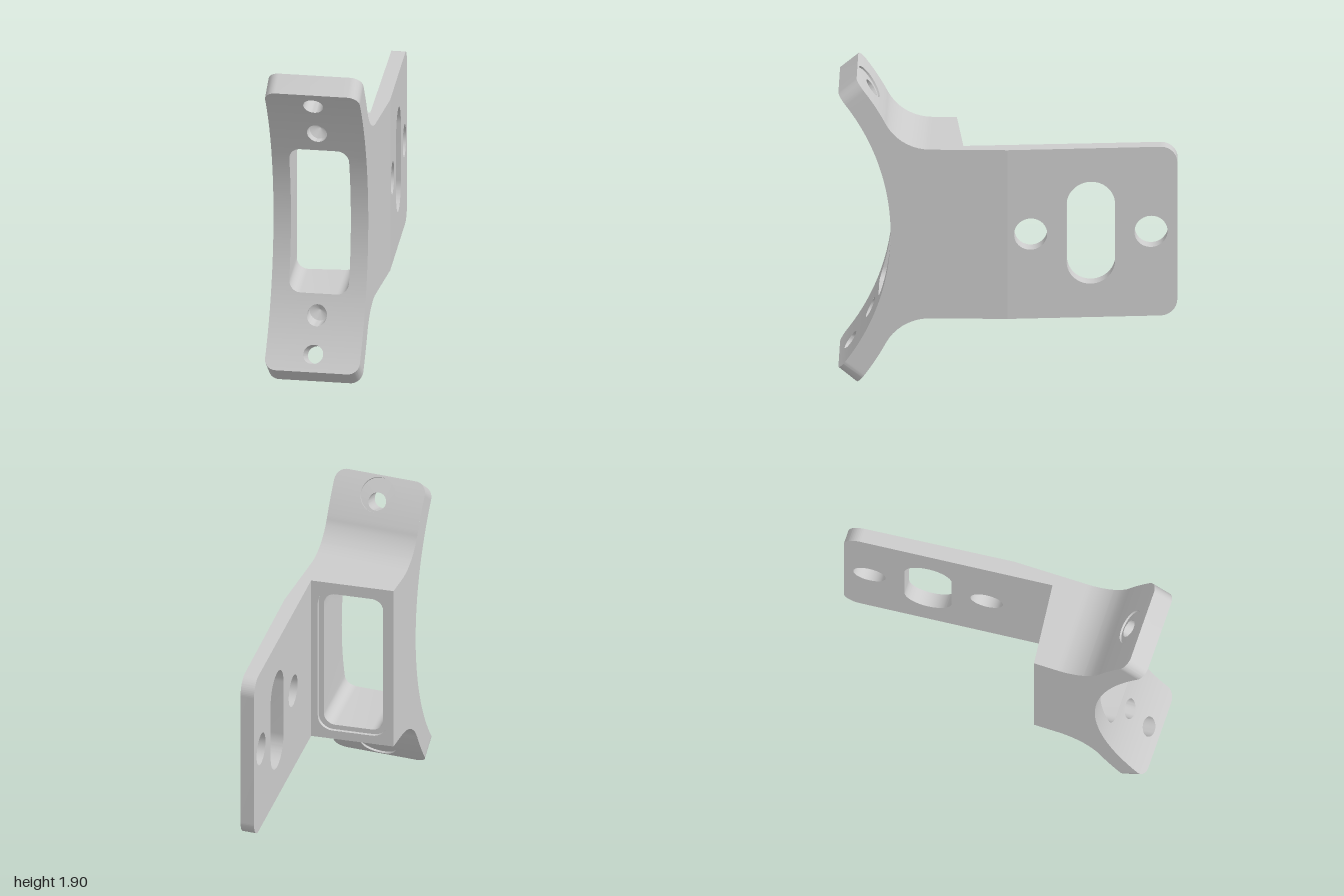
import * as THREE from 'three';
import { toCreasedNormals } from 'three/addons/utils/BufferGeometryUtils.js';

const C = 0.95;                    // height of the mirror plane
const R = 1.348, THICK = 0.14, ZC = 2.04;   // front arc, arm thickness, arc centre
const T = 0.692;                   // arc angle at the arm tips
const F = 0.4804, G = 0.31, H = 0.26;       // angles: fillet start, fillet end, back corner
const HALF = 0.285, FLAT = 0.53;   // half width, half height of body and plate
const { sin, cos, sqrt, abs, sign, PI } = Math;
const lerp = THREE.MathUtils.lerp;

// Front and rear skins of the bracket, both driven by the arc angle t
const front = (t, x) => [x, C + R * sin(t), ZC - R * cos(t)];
const rearZ = x => 0.285 - 0.1 * x;
function back(t, x, depth = 0) {
  const a = abs(t), s = sign(t);
  let y, z;
  if (a >= F) {
    const r = R + THICK - depth;
    y = r * sin(a); z = ZC - r * cos(a);
  } else if (a >= G) {
    const p = lerp(F, PI / 2, (F - a) / (F - G));
    y = 0.824 - 0.294 * sin(p); z = 0.46 + 0.294 * cos(p);
  } else if (a >= H) {
    y = FLAT; z = lerp(0.46, rearZ(x), (G - a) / (G - H));
  } else {
    y = FLAT * a / H; z = rearZ(x) + depth;
  }
  return [x, C + s * y, z];
}

// Openings: c, h = centre and half height in angle; w = half width;
// rx, ry = corner radii; cx = sideways shift
const opening = (c, h, w, rx, ry, cx = 0) => ({ c, h, w, rx, ry, cx });
const circle = (c, h, r) => opening(c, h, r, r, h);
function halfWidth(o, t) {
  const d = Math.max(0, o.h - abs(t - o.c));
  return d >= o.ry ? o.w : o.w - o.rx + o.rx * sqrt(Math.max(0, 1 - (1 - d / o.ry) ** 2));
}
function levels(o) {
  const list = [], n = 10;
  for (let k = 0; k <= n; k++) {
    const e = o.h - o.ry * (1 - cos(k / n * PI / 2));
    list.push(o.c - e, o.c + e);
  }
  for (let k = 1; k < 16; k++) list.push(o.c + (o.h - o.ry) * (k / 8 - 1));
  return list.sort((a, b) => a - b);
}
function loop(o, skin) {
  const ts = levels(o);
  return [
    ...ts.map(t => skin(t, o.cx + halfWidth(o, t))),
    ...ts.reverse().map(t => skin(t, o.cx - halfWidth(o, t))),
  ];
}

function createBracket(material) {
  const pos = [];
  const quad = (a, b, c, d, flip) =>
    pos.push(...(flip ? [a, c, b, a, d, c] : [a, b, c, a, c, d]).flat());
  // Walls through a chain of loops, from front to rear
  const chain = loops => {
    for (let j = 0; j + 1 < loops.length; j++) {
      const A = loops[j], B = loops[j + 1], n = A.length;
      for (let i = 0; i < n; i++) quad(B[i], A[i], A[(i + 1) % n], B[(i + 1) % n]);
    }
  };
  const edge = opening(0, T, HALF, 0.07, 0.052);
  const rows = openings => {
    const list = [...levels(edge), -F, F, -G, G, -H, H];
    for (let k = 0; k <= 72; k++) list.push(lerp(-T, T, k / 72));
    for (const o of openings) list.push(...levels(o), o.c - o.h - 1e-4, o.c + o.h + 1e-4);
    return list.filter(t => abs(t) <= T).sort((a, b) => a - b)
      .filter((t, i, l) => i === 0 || t - l[i - 1] > 1e-7);
  };
  // A skin with its openings left free, made in rows on each side of them
  const sheet = (skin, openings, flip) => {
    const ts = rows(openings);
    const spans = ts.map(t => {
      const W = halfWidth(edge, t);
      const o = openings.find(q => abs(t - q.c) <= q.h + 1e-6);
      const w = o ? halfWidth(o, t) : 0, cx = o ? o.cx : 0;
      return [-W, cx - w, cx + w, W];
    });
    for (let i = 0; i + 1 < ts.length; i++) for (const k of [0, 2]) {
      const [p, q] = [spans[i], spans[i + 1]];
      quad(skin(ts[i], p[k]), skin(ts[i], p[k + 1]),
        skin(ts[i + 1], q[k + 1]), skin(ts[i + 1], q[k]), flip);
    }
  };

  const window_ = opening(0, 0.3365, 0.18, 0.07, 0.055);
  const windowRear = opening(0, 0.2183, 0.18, 0.07, 0.0343, -0.035);
  const windowStep = opening(0, 0.233, 0.21, 0.09, 0.044, -0.035);
  const frontOpenings = [window_], rearOpenings = [windowStep];

  // Window with a shallow step at the rear
  chain([loop(window_, front), loop(windowRear, (t, x) => back(t, x, 0.02)),
    loop(windowStep, (t, x) => back(t, x, 0.02)), loop(windowStep, back)]);

  for (const s of [-1, 1]) {
    // Bolt hole with its seat on the rear of the arm
    const bolt = circle(s * 0.609, 0.0445, 0.06);
    const boltRear = circle(s * 0.585, 0.037, 0.055);
    const seat = circle(s * 0.611, 0.0726, 0.108);
    const floor = (t, x) => back(t, x, 0.012);
    chain([loop(bolt, front), loop(boltRear, floor), loop(seat, floor), loop(seat, back)]);
    // Blind pilot hole with a conical end
    const pilot = circle(s * 0.4327, 0.049, 0.06);
    const rim = loop(pilot, front);
    chain([rim, rim.map(p => [p[0], p[1], 0.73]),
      rim.map(() => [0, front(pilot.c, 0)[1], 0.7])]);
    frontOpenings.push(bolt, pilot);
    rearOpenings.push(seat);
  }
  sheet(front, frontOpenings, false);
  sheet(back, rearOpenings, true);

  // Side walls and arm tips
  const ts = rows([]);
  for (const s of [-1, 1]) {
    for (let i = 0; i + 1 < ts.length; i++) {
      const [a, b] = [ts[i], ts[i + 1]];
      const [u, v] = [s * halfWidth(edge, a), s * halfWidth(edge, b)];
      quad(front(a, u), back(a, u), back(b, v), front(b, v), s < 0);
    }
    const w = halfWidth(edge, T), t = s * T;
    quad(front(t, -w), front(t, w), back(t, w), back(t, -w), s < 0);
  }
  const geo = new THREE.BufferGeometry();
  geo.setAttribute('position', new THREE.Float32BufferAttribute(pos, 3));
  const mesh = new THREE.Mesh(toCreasedNormals(geo, 0.5), material);
  mesh.name = 'curvedBracket';
  return mesh;
}

// Slanted plate faces as x over z
const plateInner = z => 0.11 + (z + 1) * 0.0833;
const plateOuter = z => HALF + 0.09 * Math.min(z, 0);

function createPlate(material) {
  // Shape drawn with its first axis pointing to the rear
  const r = 0.1, s = new THREE.Shape();
  s.moveTo(0, -FLAT);
  s.lineTo(1 - r, -FLAT);
  s.absarc(1 - r, -FLAT + r, r, -PI / 2, 0);
  s.absarc(1 - r, FLAT - r, r, 0, PI / 2);
  s.lineTo(0, FLAT);
  s.closePath();
  for (const u of [0.135, 0.845]) s.holes.push(new THREE.Path().absarc(u, 0, 0.098, 0, 2 * PI, true));
  const slot = new THREE.Path(), sr = 0.143;
  slot.absarc(0.49, 0.177, sr, PI, 0, true);
  slot.absarc(0.49, -0.177, sr, 0, -PI, true);
  slot.closePath();
  s.holes.push(slot);
  const geo = new THREE.ExtrudeGeometry(s, { depth: 1, bevelEnabled: false, curveSegments: 24 });
  const p = geo.attributes.position;
  for (let i = 0; i < p.count; i++) {
    const z = -p.getX(i), y = p.getY(i), k = p.getZ(i);
    p.setXYZ(i, lerp(plateInner(z), plateOuter(z), k), C + y, z);
  }
  const mesh = new THREE.Mesh(toCreasedNormals(geo, 0.5), material);
  mesh.name = 'mountingPlate';
  return mesh;
}

function createPlateRoot(material) {
  // Wedge joining the plate to the bracket
  const geo = new THREE.BoxGeometry(1, 2 * FLAT, 1).toNonIndexed();
  const p = geo.attributes.position;
  for (let i = 0; i < p.count; i++) {
    const outer = p.getX(i) > 0, near = p.getZ(i) > 0;
    const x = outer ? HALF : near ? 0.215 : plateInner(0);
    p.setXYZ(i, x, C + p.getY(i), near ? rearZ(x) : 0);
  }
  geo.computeVertexNormals();
  const mesh = new THREE.Mesh(geo, material);
  mesh.name = 'plateRoot';
  return mesh;
}

export function createModel() {
  const group = new THREE.Group();
  group.name = 'mountingBracket';
  const material = new THREE.MeshStandardMaterial({ color: 0xcccccc });
  group.add(createBracket(material), createPlate(material), createPlateRoot(material));
  return group;
}
